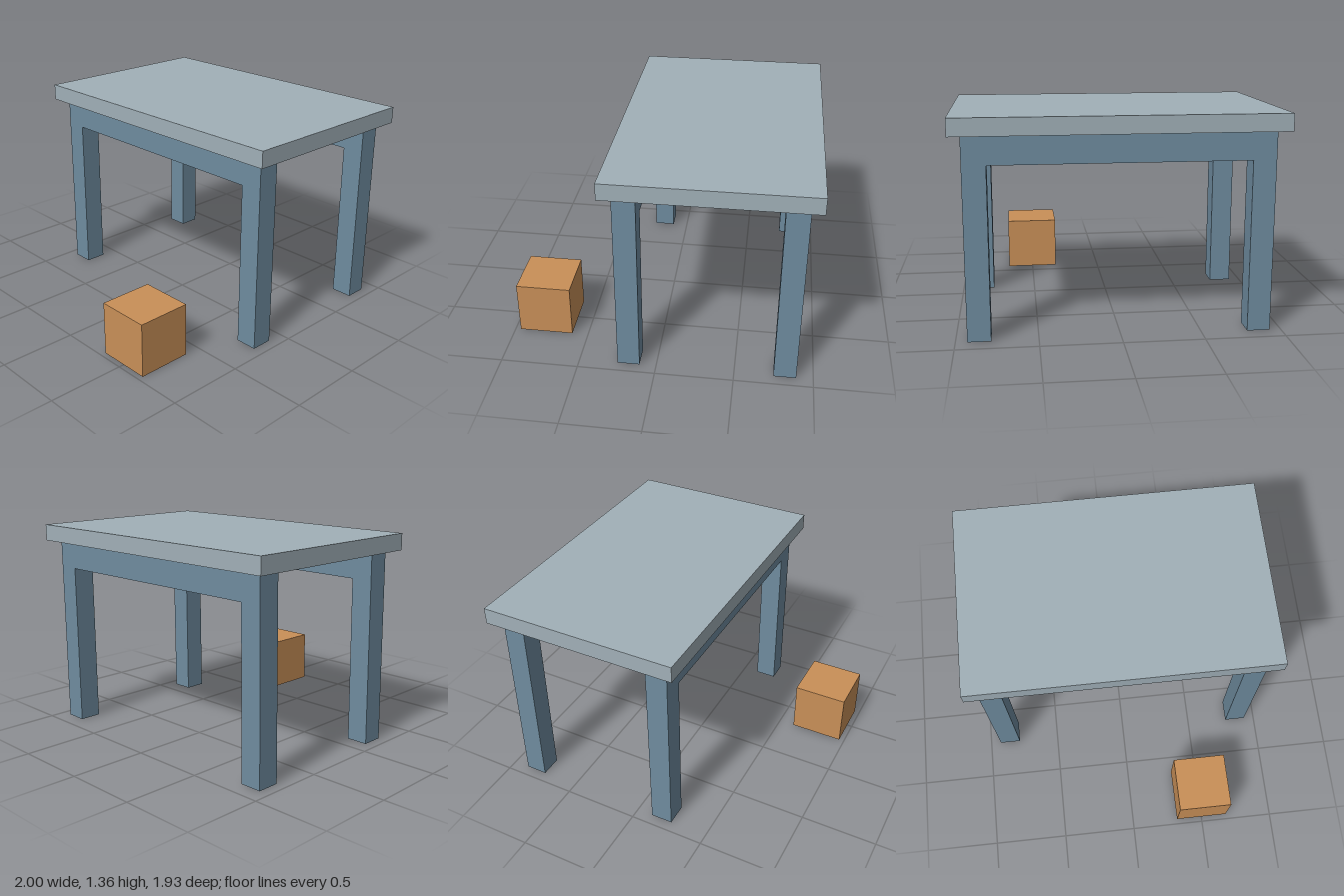
import * as THREE from 'three';

export function createModel() {
  const model = new THREE.Group();
  model.name = 'tableWithBox';

  const material = (name, color) => {
    const m = new THREE.MeshStandardMaterial({ color });
    m.name = name;
    return m;
  };
  const topGrey = material('paleGreyTop', 0xa1b0b8);
  const frameBlue = material('slateBlueFrame', 0x6f8c9f);
  const boxOrange = material('orangeBrownBox', 0xc99058);

  const add = (name, geometry, mat, x, y, z) => {
    const mesh = new THREE.Mesh(geometry, mat);
    mesh.name = name;
    mesh.position.set(x, y, z);
    model.add(mesh);
  };

  const tableZ = -0.321; // table sits behind the box
  const legHeight = 1.25, topThickness = 0.107, legSize = 0.143;

  // Table top
  add('tableTop', new THREE.BoxGeometry(2, topThickness, 1.286), topGrey,
    0, legHeight + topThickness / 2, tableZ);

  // Two legs joined by a flush apron, one frame at the front and one at the back
  const outer = 0.929, inner = outer - legSize, apronBottom = legHeight - 0.179;
  const outline = new THREE.Shape([
    [-outer, 0], [-inner, 0], [-inner, apronBottom], [inner, apronBottom],
    [inner, 0], [outer, 0], [outer, legHeight], [-outer, legHeight],
  ].map(([x, y]) => new THREE.Vector2(x, y)));
  const frame = new THREE.ExtrudeGeometry(outline, { depth: legSize, bevelEnabled: false });
  frame.translate(0, 0, -legSize / 2);
  for (const [name, side] of [['frontLegFrame', 1], ['backLegFrame', -1]]) {
    add(name, frame, frameBlue, 0, 0, tableZ + side * 0.5);
  }

  // Small box on the floor in front of the table
  const boxSize = 0.357;
  add('floorBox', new THREE.BoxGeometry(boxSize, boxSize, boxSize), boxOrange,
    0.5, boxSize / 2, 0.786);

  return model;
}
